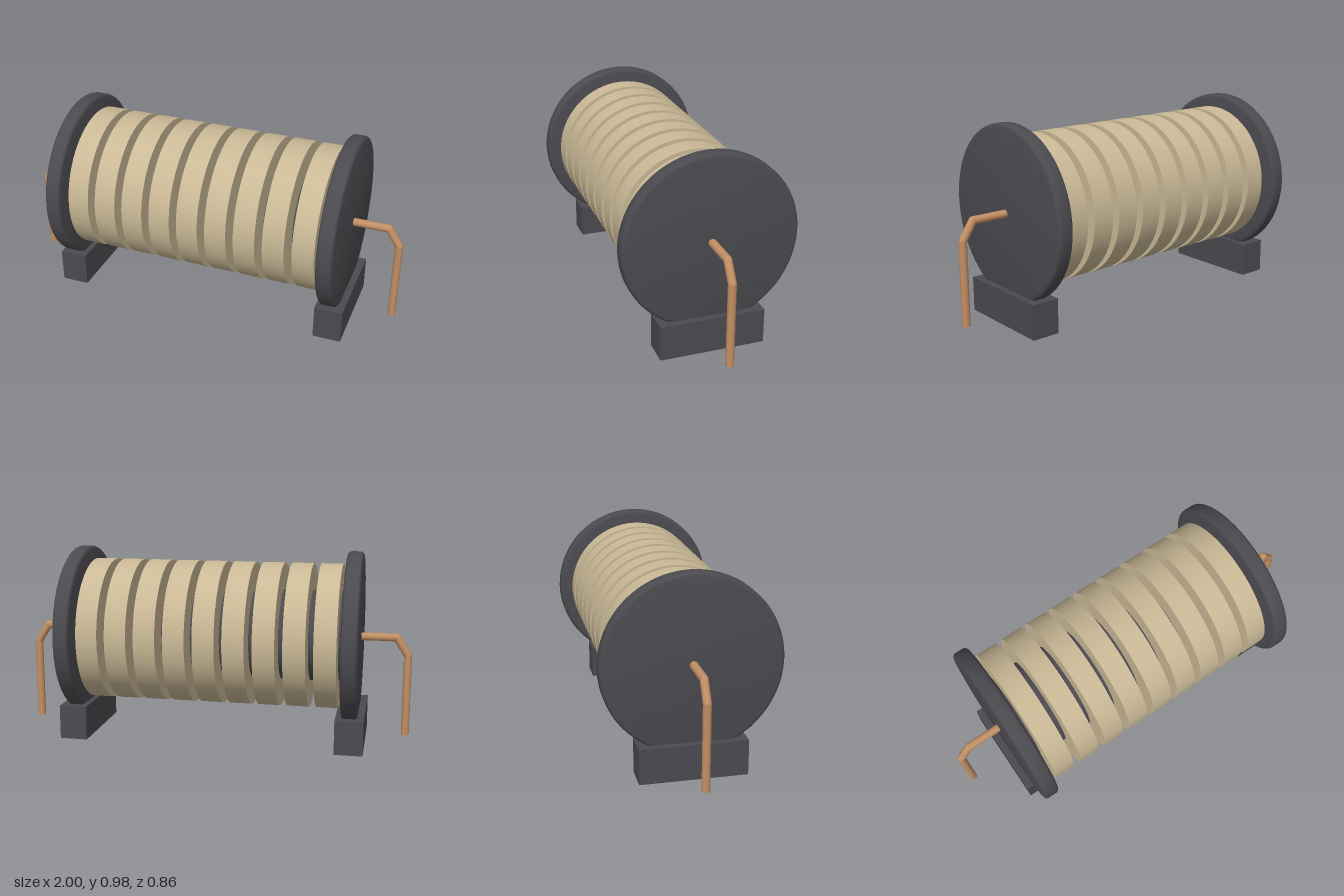
import * as THREE from 'three';
import { toCreasedNormals } from 'three/addons/utils/BufferGeometryUtils.js';

export function createModel() {
  const group = new THREE.Group();
  const plastic = new THREE.MeshStandardMaterial({ name: 'dark plastic', color: 0x4b4a4f });
  const winding = new THREE.MeshStandardMaterial({ name: 'tan winding', color: 0xcab996 });
  const copper = new THREE.MeshStandardMaterial({ name: 'copper', color: 0xc28f64 });
  const axisY = 0.547;

  const add = (name, geometry, material, x, y, z = 0, parent = group) => {
    const mesh = new THREE.Mesh(geometry, material);
    mesh.name = name;
    mesh.position.set(x, y, z);
    parent.add(mesh);
    return mesh;
  };

  // Disc lying along x, with rounded rim
  const disc = (radius, width, bevel) => {
    const h = width / 2;
    const points = [new THREE.Vector2(0, -h)];
    for (const [cy, start] of [[-h + bevel, -Math.PI / 2], [h - bevel, 0]]) {
      for (let i = 0; i <= 4; i++) {
        const a = start + (i / 4) * Math.PI / 2;
        points.push(new THREE.Vector2(radius - bevel + bevel * Math.cos(a), cy + bevel * Math.sin(a)));
      }
    }
    points.push(new THREE.Vector2(0, h));
    return toCreasedNormals(new THREE.LatheGeometry(points, 64), 0.5).rotateZ(Math.PI / 2);
  };

  // Bobbin core
  add('core', new THREE.CylinderGeometry(0.23, 0.23, 1.36, 64).rotateZ(Math.PI / 2), plastic, 0, axisY);

  // Nine separate winding bands
  const band = new THREE.CylinderGeometry(0.366, 0.366, 0.109, 64).rotateZ(Math.PI / 2);
  for (let i = -4; i <= 4; i++) add('windingBand', band, winding, i * 0.1475, axisY);

  // Flanges, feet and bent wire leads at both ends
  const flange = disc(0.43, 0.08, 0.018);
  const foot = new THREE.BoxGeometry(0.142, 0.174, 0.518);
  const up = new THREE.Vector3(0, 1, 0);
  for (const side of [-1, 1]) {
    add('flange', flange, plastic, side * 0.705, axisY);
    add('foot', foot, plastic, side * 0.708, 0.087);

    const lead = new THREE.Group();
    lead.name = 'wireLead';
    group.add(lead);
    const path = [[0.7, 0.55], [0.922, 0.55], [0.98, 0.46], [0.98, 0.046]]
      .map(([x, y]) => new THREE.Vector3(side * x, y, 0));
    for (let i = 0; i < 3; i++) {
      const dir = path[i + 1].clone().sub(path[i]);
      const mid = path[i].clone().add(path[i + 1]).multiplyScalar(0.5);
      const wire = add('wireSegment', new THREE.CylinderGeometry(0.02, 0.02, dir.length(), 12), copper, mid.x, mid.y, 0, lead);
      wire.quaternion.setFromUnitVectors(up, dir.normalize());
      if (i > 0) add('wireBend', new THREE.SphereGeometry(0.02, 12, 8), copper, path[i].x, path[i].y, 0, lead);
    }
  }
  return group;
}
